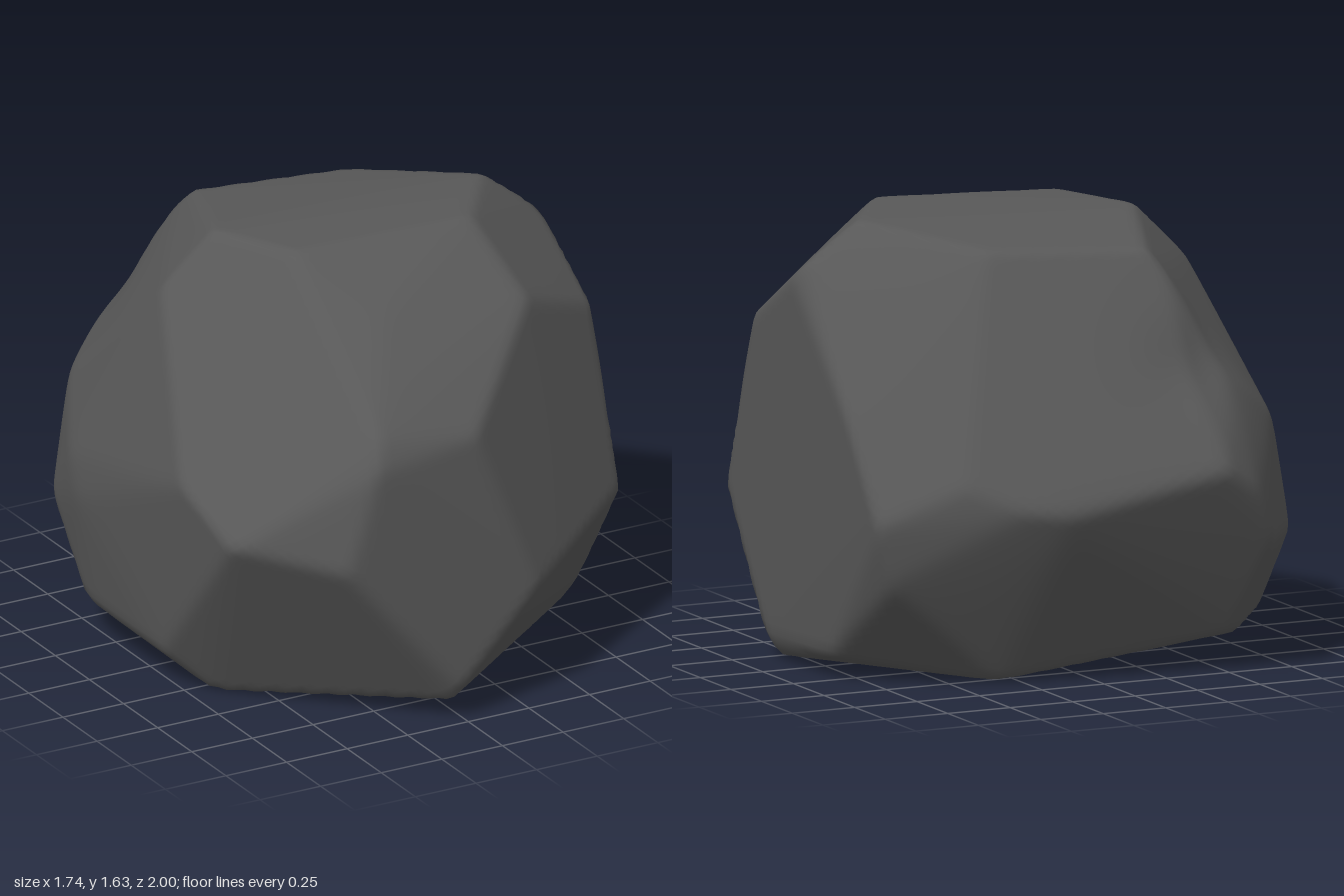
import * as THREE from 'three';
import { mergeVertices } from 'three/addons/utils/BufferGeometryUtils.js';
import { ConvexGeometry } from 'three/addons/geometries/ConvexGeometry.js';

// Corners of the boulder, [x, y, z], from the crown down to the base
const crown = [
  [0.4, 1.63, 0.31], [0.63, 1.62, -0.03], [-0.3, 1.61, 0.25], [-0.44, 1.605, -0.08],
  [-0.25, 1.535, -0.58], [-0.28, 1.49, -0.61], [0.32, 1.545, -0.45], [-0.63, 1.41, -0.12],
  [0.82, 1.48, 0], [0.86, 1.42, 0.05], [0.85, 1.22, 0.38],
  [0.47, 1.4, 0.6], [-0.1, 1.43, 0.58],
];
const waist = [
  [0.06, 1.08, 0.95], [-0.33, 1.14, 0.93], [-0.36, 1.03, 0.985],
  [-0.85, 0.87, 0.42], [-0.81, 0.73, 0.71], [-0.48, 0.65, 0.975],
  [0.3, 0.46, 0.985], [0.86, 0.58, 0.58], [0.865, 0.97, -0.42],
  [-0.5, 1.1, -0.77], [-0.72, 0.9, -0.64], [-0.85, 0.7, -0.4], [-0.87, 0.56, -0.32],
  [-0.82, 0.47, -0.58], [-0.37, 0.79, -1], [-0.51, 0.7, -0.95], [-0.61, 0.5, -0.885],
  [0.23, 0.64, -0.93], [0.37, 0.68, -0.9], [0.58, 0.77, -0.79], [0.86, 0.62, -0.65],
];
const base = [
  [0.79, 0.4, -0.635], [0.46, 0.38, -0.73], [-0.54, 0.14, -0.715], [-0.81, 0.15, 0.2],
  [-0.81, 0.15, -0.35], [0.34, 0.01, -0.56], [-0.65, 0, 0.31],
  [0.85, 0.09, -0.25], [0.82, 0.01, 0.22], [0.87, 0.09, 0.25],
  [-0.05, 0.08, 0.96], [-0.02, 0.14, 1],
];
const CENTRE = new THREE.Vector3(0, 0.8, 0);
const SHARPNESS = 200;
// Shallow hollow in the upper back, above the rear ridge
const HOLLOW = { dir: new THREE.Vector3(-0.38, 0.33, -0.78).normalize(), depth: 0.04, width: 0.2 };

// Facet planes of the hull, as normals divided by their distance from the centre
function facetPlanes(corners) {
  const hull = new ConvexGeometry(corners.map((c) => new THREE.Vector3(...c).sub(CENTRE)));
  const pos = hull.attributes.position;
  const planes = [];
  const tri = new THREE.Triangle();
  for (let i = 0; i < pos.count; i += 3) {
    tri.setFromAttributeAndIndices(pos, i, i + 1, i + 2);
    if (tri.getArea() < 1e-5) continue;
    const n = tri.getNormal(new THREE.Vector3());
    planes.push(n.divideScalar(n.dot(tri.a)));
  }
  return planes;
}

// A fine sphere pressed onto the facets, with slightly worn edges
function boulderGeometry() {
  const planes = facetPlanes([...crown, ...waist, ...base]);
  const sphere = new THREE.IcosahedronGeometry(1, 36);
  sphere.deleteAttribute('normal');
  sphere.deleteAttribute('uv');
  const geo = mergeVertices(sphere, 1e-5);
  const pos = geo.attributes.position;
  const d = new THREE.Vector3();
  for (let i = 0; i < pos.count; i++) {
    d.fromBufferAttribute(pos, i).normalize();
    const reach = planes.map((p) => Math.max(0, p.dot(d)));
    const top = Math.max(...reach);
    const sum = reach.reduce((s, v) => s + (v / top) ** SHARPNESS, 0);
    // Corners where about four facets meet keep their full radius
    const radius = 1 / (top * (sum / 4) ** (1 / SHARPNESS));
    const hollow = HOLLOW.depth * Math.exp(-((d.angleTo(HOLLOW.dir) / HOLLOW.width) ** 2));
    d.multiplyScalar(radius - hollow);
    pos.setXYZ(i, d.x, d.y, d.z);
  }
  // Centre it and stand it on the ground
  geo.center();
  geo.computeBoundingBox();
  geo.translate(0, -geo.boundingBox.min.y, 0);
  geo.computeVertexNormals();
  return geo;
}

export function createModel() {
  const group = new THREE.Group();
  group.name = 'rock';
  const stone = new THREE.MeshStandardMaterial({ color: 0x585858 });
  stone.name = 'dark grey stone';
  const boulder = new THREE.Mesh(boulderGeometry(), stone);
  boulder.name = 'boulder';
  group.add(boulder);
  return group;
}
